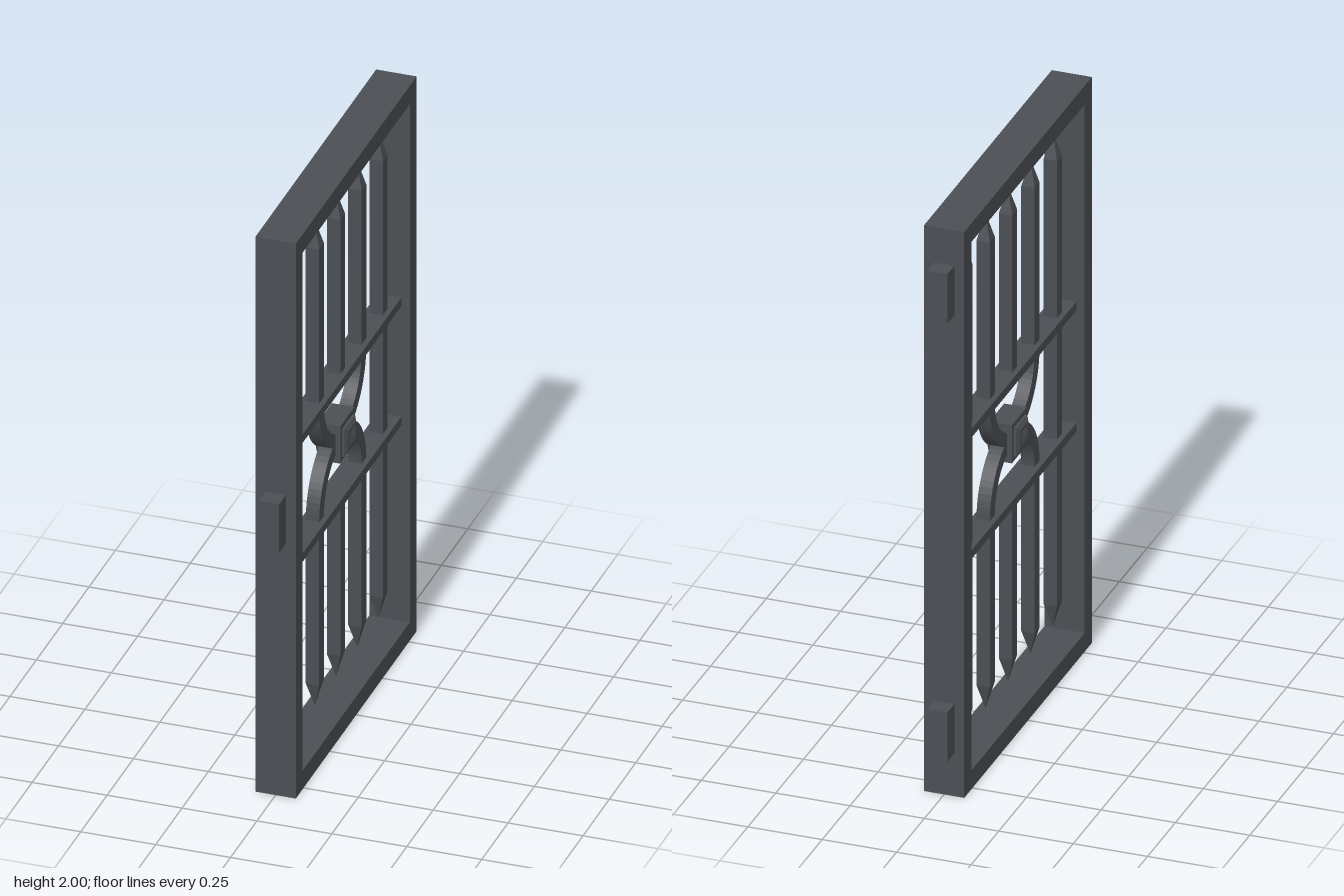
import * as THREE from 'three';

export function createModel() {
  const gate = new THREE.Group();
  gate.name = 'gate';
  const iron = new THREE.MeshStandardMaterial({ color: 0x4b4f53 });
  iron.name = 'dark iron';

  const add = (name, geometry, x = 0, y = 0, z = 0) => {
    const mesh = new THREE.Mesh(geometry, iron);
    mesh.name = name;
    mesh.position.set(x, y, z);
    gate.add(mesh);
    return mesh;
  };

  // Square-section turned piece: profile of [half width, height], flat faces
  const squareLathe = (profile) => {
    const points = profile.map(([w, h]) => new THREE.Vector2(w * Math.SQRT2, h));
    const g = new THREE.LatheGeometry(points, 4).rotateY(Math.PI / 4).toNonIndexed();
    g.computeVertexNormals();
    return g;
  };

  // Flat outline extruded through the gate's thickness (shape x runs along z)
  const slab = (shape, depth) =>
    new THREE.ExtrudeGeometry(shape, { depth, bevelEnabled: false, curveSegments: 16 })
      .translate(0, 0, -depth / 2)
      .rotateY(Math.PI / 2);

  const rect = (path, w, y0, y1) =>
    path.moveTo(-w, y0).lineTo(w, y0).lineTo(w, y1).lineTo(-w, y1).closePath();

  // Outer frame
  const outline = rect(new THREE.Shape(), 0.573, 0, 2);
  outline.holes.push(rect(new THREE.Path(), 0.508, 0.066, 1.934));
  add('frame', slab(outline, 0.135));

  // Latch on the front edge, hinges on the back edge
  const block = new THREE.BoxGeometry(0.068, 0.175, 0.064);
  add('latch', block, 0, 1.0, 0.603);
  add('upperHinge', block, 0, 1.787, -0.603);
  add('lowerHinge', block, 0, 0.238, -0.603);

  // Cross rails
  const rail = new THREE.BoxGeometry(0.08, 0.03, 1.02);
  add('upperRail', rail, 0, 1.217, 0);
  add('lowerRail', rail, 0, 0.788, 0);

  // Full-height outer bars, pointed at both ends
  const w = 0.0225;
  const longBar = squareLathe([[0, 0.127], [w, 0.215], [w, 1.787], [0, 1.877]]);
  for (const z of [-0.402, 0.402]) add('longBar', longBar, 0, 0, z);

  // Short spiked bars above and below the rails
  const upperBar = squareLathe([[0, 1.21], [w, 1.21], [w, 1.787], [0, 1.877]]);
  const lowerBar = squareLathe([[0, 0.127], [w, 0.215], [w, 0.795], [0, 0.795]]);
  for (const z of [-0.201, 0, 0.201]) {
    add('upperBar', upperBar, 0, 0, z);
    add('lowerBar', lowerBar, 0, 0, z);
  }

  // Half-round scrolls meeting at the centre
  const r = 0.201;
  const arch = new THREE.Shape();
  arch.absarc(0, 0, r + w, 0, Math.PI, false);
  arch.absarc(0, 0, r - w, Math.PI, 0, true);
  arch.closePath();
  add('lowerArch', slab(arch, 2 * w), 0, 0.8, 0);
  add('upperArch', slab(arch, 2 * w), 0, 1.205, 0).rotation.x = Math.PI;

  // Stepped square boss with a pyramid on each face
  const half = [[0.067, 0.038], [0.05, 0.038], [0.05, 0.046], [0.036, 0.055], [0.027, 0.055], [0, 0.066]];
  const mirrored = half.map(([a, h]) => [a, -h]).reverse();
  add('centreBoss', squareLathe([...mirrored, ...half]).rotateZ(-Math.PI / 2), 0, 1.002, 0);

  return gate;
}
